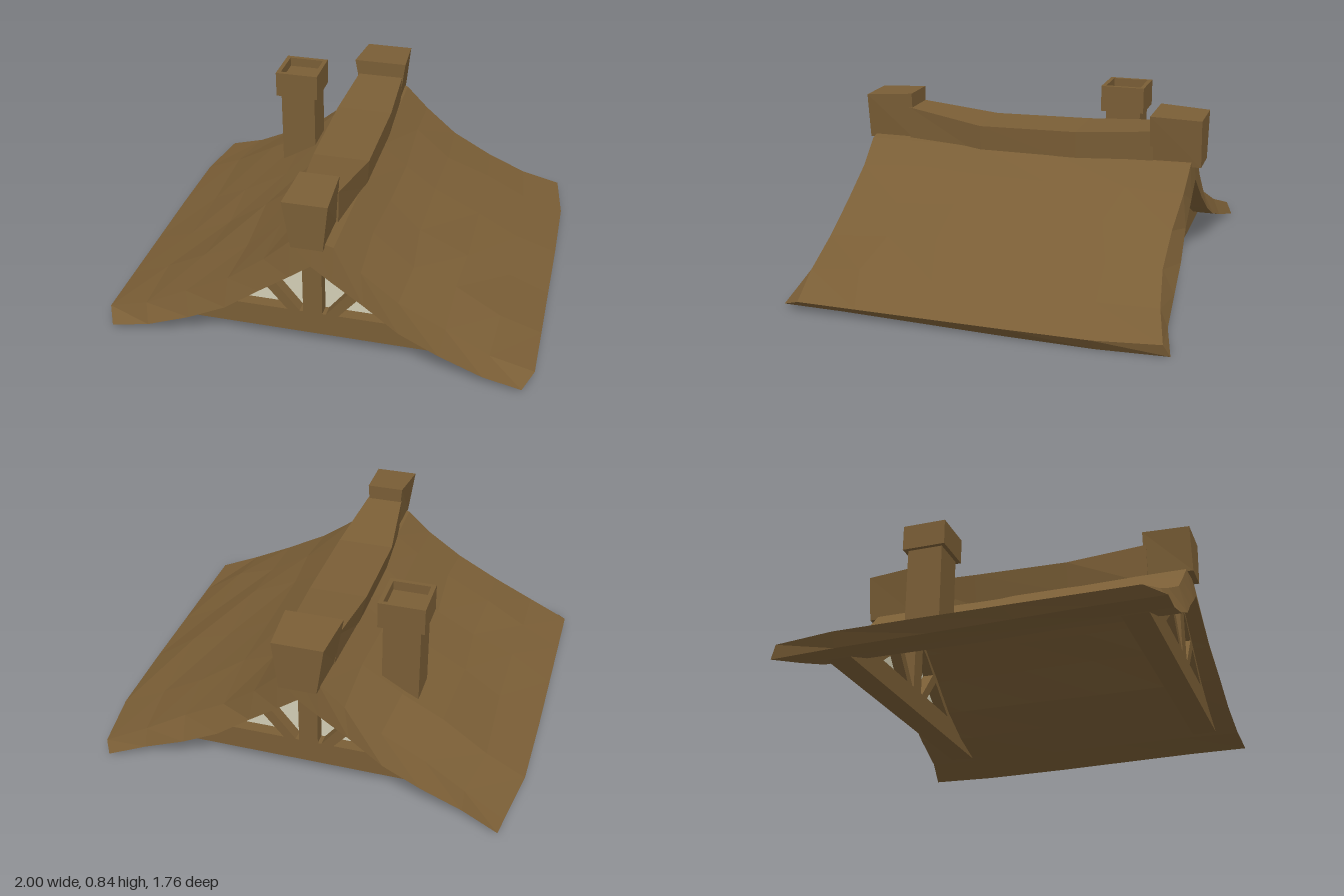
import * as THREE from 'three';

const wood = new THREE.MeshStandardMaterial({ color: 0x7a5e36, flatShading: true });
wood.name = 'brown wood';
const glass = new THREE.MeshStandardMaterial({ color: 0xd3ceb6 });
glass.name = 'cream pane';

// Closed solid from sections ordered front to back; each has matching top and bottom point rows
function loft(rows) {
  const pos = [];
  const quad = (a, b, c, d) => { for (const p of [a, b, c, a, c, d]) pos.push(...p); };
  const rings = rows.map(r => [...r.top, ...[...r.bot].reverse()]);
  for (let i = 0; i < rings.length - 1; i++) {
    const f = rings[i], b = rings[i + 1], n = f.length;
    for (let j = 0; j < n; j++) quad(f[j], f[(j + 1) % n], b[(j + 1) % n], b[j]);
  }
  const first = rows[0], last = rows[rows.length - 1];
  for (let j = 0; j < first.top.length - 1; j++) {
    quad(first.top[j], first.bot[j], first.bot[j + 1], first.top[j + 1]);
    quad(last.top[j + 1], last.bot[j + 1], last.bot[j], last.top[j]);
  }
  const g = new THREE.BufferGeometry();
  g.setAttribute('position', new THREE.Float32BufferAttribute(pos, 3));
  g.computeVertexNormals();
  return g;
}

function add(parent, name, geometry, material = wood) {
  const m = new THREE.Mesh(geometry, material);
  m.name = name;
  parent.add(m);
  return m;
}

// Seeded wobble for the hand-hewn surfaces
let seed = 7;
const wobble = a => {
  seed = (seed * 16807) % 2147483647;
  return (seed / 2147483647 - 0.5) * 2 * a;
};

// Half profile per column: x, top y, underside x, underside y, front top z, front bottom z, back top z, back bottom z
const COLUMNS = [
  [0, 0.62, 0, 0.49, 0.81, 0.83, -0.80, -0.81],
  [0.10, 0.59, 0.10, 0.42, 0.81, 0.835, -0.80, -0.81],
  [0.22, 0.50, 0.24, 0.325, 0.81, 0.84, -0.79, -0.81],
  [0.39, 0.375, 0.40, 0.215, 0.82, 0.855, -0.77, -0.82],
  [0.60, 0.265, 0.58, 0.13, 0.815, 0.86, -0.77, -0.825],
  [0.80, 0.165, 0.78, 0.06, 0.82, 0.87, -0.80, -0.835],
  [1.00, 0.07, 0.955, 0.012, 0.79, 0.88, -0.85, -0.88],
];
const STEPS = [0, 0.17, 0.36, 0.58, 0.82, 1];

function roofRow(t) {
  const row = { top: [], bot: [] };
  const end = t === 0 || t === 1;
  const width = 1 - 0.05 * Math.max(0, t - 0.8) / 0.2;
  for (let k = -6; k <= 6; k++) {
    const s = Math.sign(k), c = COLUMNS[Math.abs(k)];
    const middle = Math.abs(k) > 1 && Math.abs(k) < 6;
    const w = middle && !end ? 0.016 : 0;
    const drop = end && middle ? 0.02 : 0;
    const eave = Math.abs(k) === 6 ? 0.035 * (1 - t) - (t === 0 ? 0.015 : 0.01) : 0;
    row.top.push([s * c[0] * width + wobble(w), c[1] - drop + wobble(w),
      THREE.MathUtils.lerp(c[4], c[6], t) + wobble(w * 2)]);
    row.bot.push([s * c[2] * (width + 1) / 2, c[3] + Math.max(0, eave) + wobble(w * 0.4),
      THREE.MathUtils.lerp(c[5], c[7], t)]);
  }
  return row;
}

// Beam section: z, top left x, top right x, top y, bottom left x, bottom right x, bottom y
const beam = sections => loft(sections.map(([z, l, r, y, bl, br, by]) => ({
  top: [[l, y, z], [r, y, z]], bot: [[bl, by, z], [br, by, z]],
})));

const shapeOf = pts => new THREE.Shape(pts.map(p => new THREE.Vector2(...p)));
const square = h => [[-h, -h], [h, -h], [h, h], [-h, h]];

function createGable(name, z) {
  const g = new THREE.Group();
  g.name = name;
  const depth = 0.12;
  const wall = shapeOf([[-0.82, 0.07], [0.8, 0.07], [0.4, 0.25], [0, 0.53], [-0.4, 0.25]]);
  const panes = [
    [[0.12, 0.185], [0.395, 0.185], [0.225, 0.31]],
    [[0.045, 0.185], [0.062, 0.185], [0.185, 0.34], [0.105, 0.405], [0.045, 0.435]],
  ];
  for (const side of [1, -1]) {
    for (const p of panes) {
      const pts = p.map(([x, y]) => [side * x - 0.015, y]);
      if (side < 0) pts.reverse();
      wall.holes.push(new THREE.Path(pts.map(q => new THREE.Vector2(...q))));
      add(g, 'windowPane', new THREE.ExtrudeGeometry(shapeOf(pts), { depth: 0.008, bevelEnabled: false }), glass)
        .position.z = depth / 2 - 0.004;
    }
  }
  add(g, 'gableWall', new THREE.ExtrudeGeometry(wall, { depth, bevelEnabled: false }));
  g.position.z = z;
  return g;
}

function createChimney() {
  const g = new THREE.Group();
  g.name = 'chimney';
  add(g, 'chimneyShaft', new THREE.BoxGeometry(0.175, 0.46, 0.175)).position.y = 0.51;
  const rim = shapeOf(square(0.108));
  rim.holes.push(new THREE.Path(square(0.087).reverse().map(p => new THREE.Vector2(...p))));
  const cap = add(g, 'chimneyRim', new THREE.ExtrudeGeometry(rim, { depth: 0.128, bevelEnabled: false }));
  cap.rotation.x = -Math.PI / 2;
  cap.position.y = 0.72;
  add(g, 'chimneyFloor', new THREE.BoxGeometry(0.18, 0.08, 0.18)).position.y = 0.762;
  g.position.set(-0.38, 0, -0.385);
  return g;
}

export function createModel() {
  const model = new THREE.Group();
  model.name = 'timberRoof';

  add(model, 'roofSlab', loft(STEPS.map(roofRow)));

  // Sagging ridge with a block at each end
  add(model, 'ridgeBeam', beam([
    [0.62, -0.10, 0.075, 0.755, -0.09, 0.07, 0.55],
    [0.23, -0.15, 0.12, 0.70, -0.12, 0.11, 0.55],
    [-0.25, -0.155, 0.12, 0.708, -0.12, 0.11, 0.55],
    [-0.62, -0.13, 0.10, 0.735, -0.11, 0.09, 0.55],
  ]));
  add(model, 'frontRidgeBlock', beam([
    [0.84, -0.12, 0.085, 0.808, -0.085, 0.06, 0.585],
    [0.605, -0.105, 0.075, 0.825, -0.085, 0.06, 0.59],
  ]));
  add(model, 'backRidgeBlock', beam([
    [-0.605, -0.152, 0.117, 0.81, -0.11, 0.085, 0.575],
    [-0.845, -0.135, 0.10, 0.80, -0.10, 0.075, 0.57],
  ]));

  model.add(createGable('frontGable', 0.64));
  model.add(createGable('backGable', -0.72));
  model.add(createChimney());
  return model;
}
